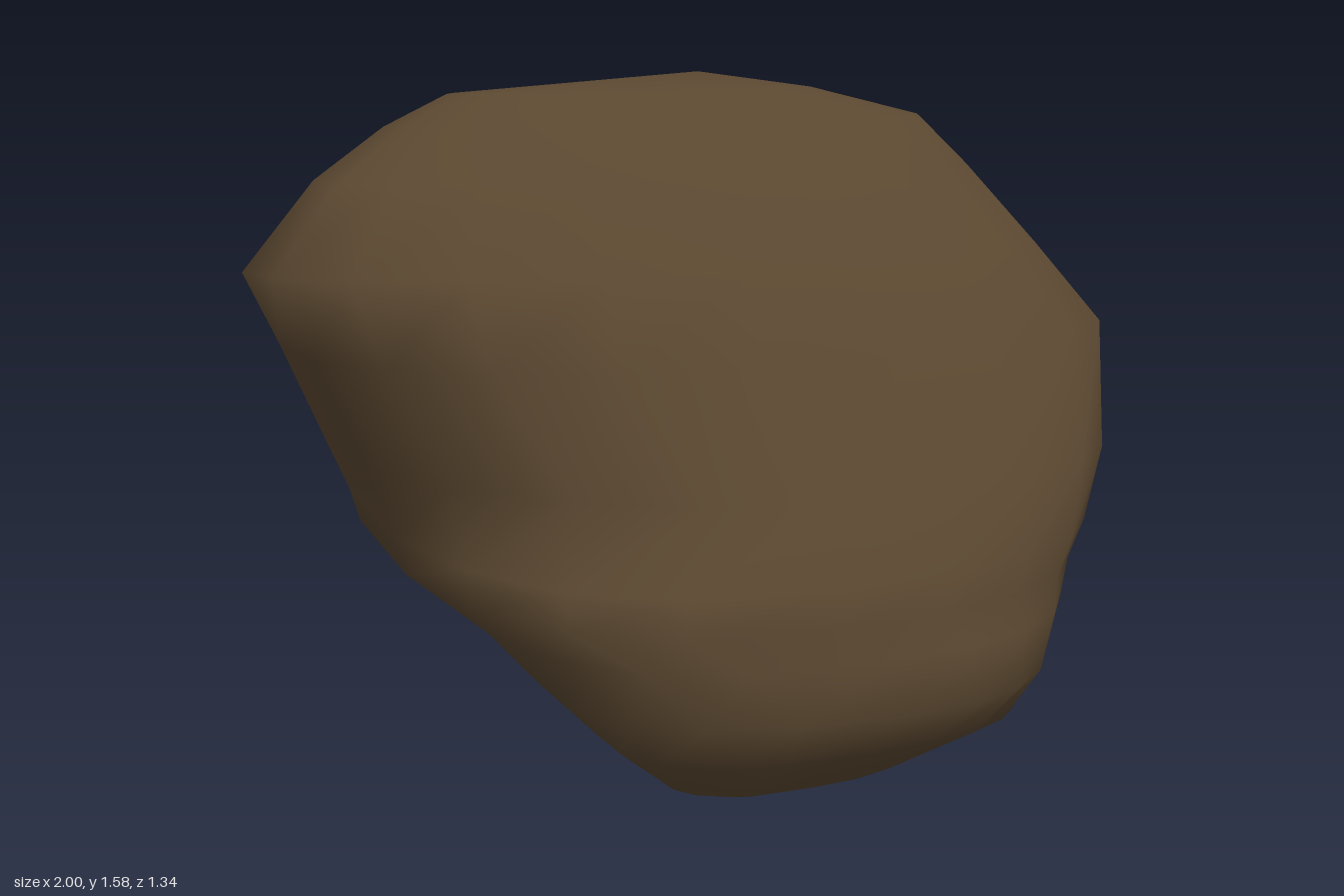
import * as THREE from 'three';

// Level cross-sections of the boulder, bottom to top:
// y, left x z, front x z, right x z, back x z,
// corner powers left-front, right-back, left-back
// (power 1 is a round corner, higher cuts it in, lower squares it off)
const RINGS = [
  [0.06, -0.20, 0.32, 0.10, 0.47, 0.42, 0.30, 0.16, 0.00, 0.8, 0.9, 1],
  [0.17, -0.33, 0.30, 0.18, 0.58, 0.63, 0.38, 0.25, -0.15, 0.8, 0.9, 1],
  [0.29, -0.45, 0.24, 0.26, 0.67, 0.70, 0.32, 0.28, -0.25, 0.82, 0.82, 1],
  [0.41, -0.58, -0.05, 0.20, 0.65, 0.77, 0.28, 0.24, -0.35, 0.78, 0.82, 0.9],
  [0.49, -0.72, -0.46, 0.10, 0.64, 0.81, 0.24, 0.18, -0.39, 0.76, 0.8, 1],
  [0.57, -0.74, -0.49, 0.10, 0.63, 0.86, 0.22, 0.15, -0.42, 0.8, 0.8, 1],
  [0.73, -0.81, -0.28, 0.10, 0.54, 0.93, 0.20, 0.15, -0.46, 1.15, 0.8, 1.1],
  [1.00, -0.92, -0.16, 0.00, 0.41, 1.00, 0.06, 0.05, -0.55, 0.97, 0.97, 1.25],
  [1.18, -1.00, -0.07, 0.00, 0.30, 0.87, -0.04, -0.09, -0.67, 1.03, 1.07, 1.6],
  [1.36, -0.83, -0.16, 0.00, 0.14, 0.74, -0.15, 0.00, -0.55, 0.9, 0.92, 1.2],
  [1.47, -0.67, -0.18, -0.05, 0.02, 0.65, -0.21, 0.05, -0.44, 0.9, 0.88, 1],
  [1.54, -0.53, -0.16, -0.10, -0.06, 0.36, -0.20, 0.05, -0.28, 0.9, 0.9, 0.9],
];
const BOTTOM = [0, 0, 0.35];
const TOP = [0.07, 1.58, -0.19];
const STEPS = 5; // points per quarter
const SIDES = STEPS * 4;

// Closed outline joining the four extreme points with quarter arcs
function ringPoints([y, lx, lz, fx, fz, rx, rz, bx, bz, pLF, pRB, pLB]) {
  const ends = [[lx, lz], [fx, fz], [rx, rz], [bx, bz]];
  const powers = [pLF, 0.92, pRB, pLB];
  const points = [];
  for (let q = 0; q < 4; q++) {
    const a = ends[q], b = ends[(q + 1) % 4];
    for (let i = 0; i < STEPS; i++) {
      const t = (i / STEPS) * Math.PI / 2;
      const s = Math.pow(Math.sin(t), powers[q]);
      const c = 1 - Math.pow(Math.cos(t), powers[q]);
      // leave left and right points along z, front and back points along x
      const [u, v] = q % 2 === 0 ? [c, s] : [s, c];
      points.push([a[0] + (b[0] - a[0]) * u, y, a[1] + (b[1] - a[1]) * v]);
    }
  }
  return points;
}

function boulderGeometry() {
  const points = RINGS.flatMap(ringPoints);
  const bottom = points.push(BOTTOM) - 1;
  const top = points.push(TOP) - 1;
  const index = [];
  const last = (RINGS.length - 1) * SIDES;
  for (let j = 0; j < SIDES; j++) {
    const k = (j + 1) % SIDES;
    for (let r = 0; r < last; r += SIDES) {
      index.push(r + j, r + k, r + SIDES + k, r + j, r + SIDES + k, r + SIDES + j);
    }
    index.push(bottom, k, j, top, last + j, last + k);
  }
  const geometry = new THREE.BufferGeometry();
  geometry.setAttribute('position', new THREE.Float32BufferAttribute(points.flat(), 3));
  geometry.setIndex(index);
  geometry.computeVertexNormals();
  return geometry;
}

export function createModel() {
  const stone = new THREE.MeshStandardMaterial({ color: 0x5a4730 });
  stone.name = 'brown stone';
  const boulder = new THREE.Mesh(boulderGeometry(), stone);
  boulder.name = 'boulder';
  const group = new THREE.Group();
  group.name = 'rock';
  group.add(boulder);
  return group;
}
